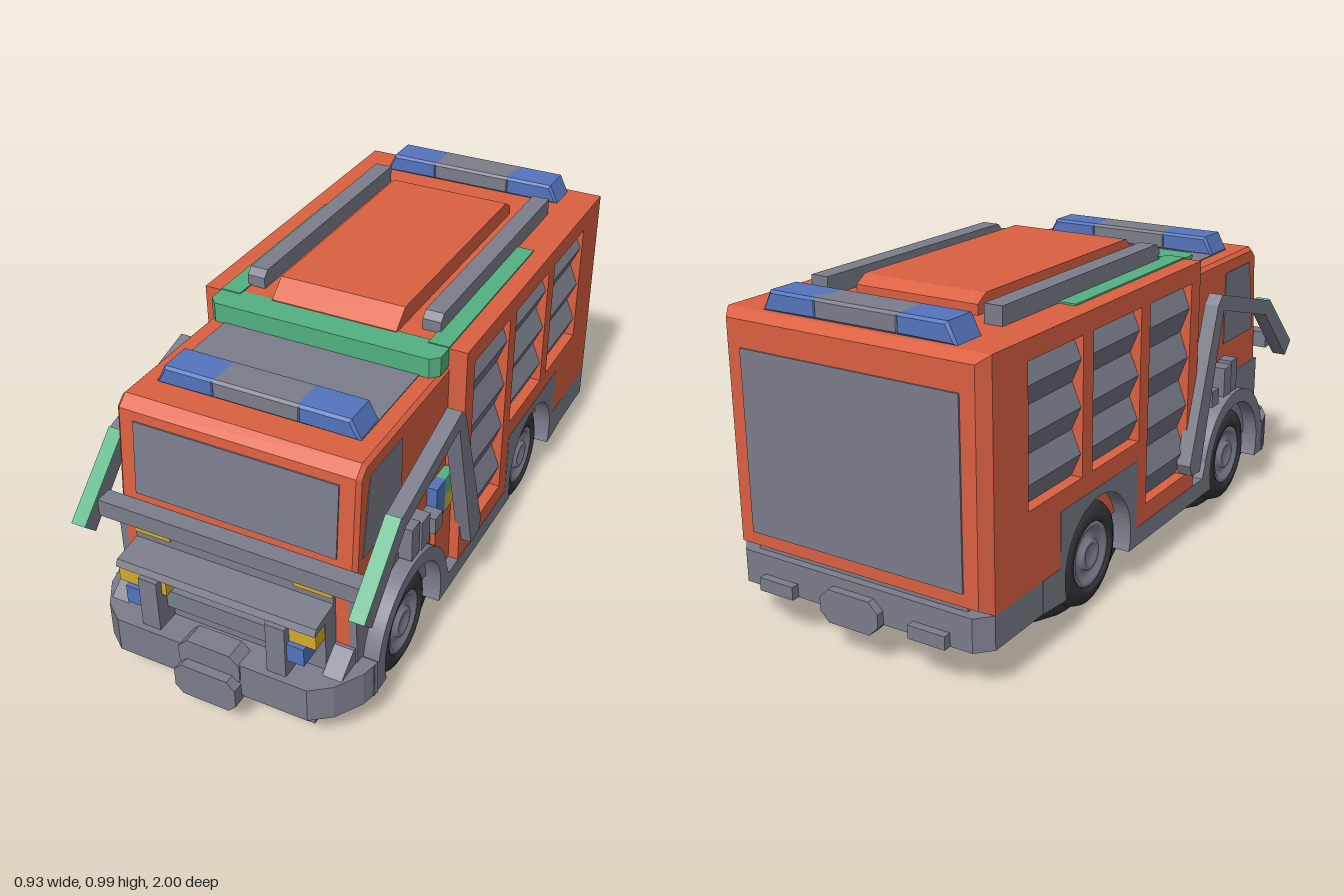
import * as THREE from 'three';

const mat = (name, color) => Object.assign(new THREE.MeshStandardMaterial({ color }), { name });

export function createModel() {
  const root = new THREE.Group();
  root.name = 'fireTruck';
  const orange = mat('orange', 0xdb6041), grey = mat('grey', 0x7b7d8b), tyre = mat('tyre', 0x37373b);
  const green = mat('green', 0x52b181), blue = mat('blue', 0x5474bd), yellow = mat('yellow', 0xd2ac2b);

  const add = (name, geo, m) => {
    const mesh = new THREE.Mesh(geo, m);
    mesh.name = name;
    root.add(mesh);
    return mesh;
  };
  // box given by its limits
  const box = (name, m, x0, x1, y0, y1, z0, z1) => {
    const g = new THREE.BoxGeometry(x1 - x0, y1 - y0, z1 - z0);
    g.translate((x0 + x1) / 2, (y0 + y1) / 2, (z0 + z1) / 2);
    return add(name, g, m);
  };
  // the same box on both sides
  const pair = (name, m, x0, x1, ...r) => {
    box(name + 'Left', m, x0, x1, ...r);
    box(name + 'Right', m, -x1, -x0, ...r);
  };
  const poly = pts => new THREE.Shape(pts.map(p => new THREE.Vector2(...p)));
  const extrude = (shape, depth, bevel = 0) => new THREE.ExtrudeGeometry(shape, {
    depth: depth - 2 * bevel, bevelEnabled: bevel > 0, bevelSize: bevel, bevelThickness: bevel,
    bevelOffset: -bevel, bevelSegments: 1, curveSegments: 20,
  }).translate(0, 0, bevel);
  // (z, y) outline extruded across x
  const across = (name, m, shape, x0, x1, bevel) =>
    add(name, extrude(shape, x1 - x0, bevel).rotateY(-Math.PI / 2).translate(x1, 0, 0), m);
  const acrossPair = (name, m, shape, x0, x1) => {
    across(name + 'Left', m, shape, x0, x1);
    across(name + 'Right', m, shape, -x1, -x0);
  };
  // half outline (x, z) mirrored and extruded upward
  const plan = (name, m, half, y0, y1) => {
    const pts = [...half, ...half.map(([x, z]) => [-x, z]).reverse()];
    return add(name, extrude(poly(pts), y1 - y0).rotateX(Math.PI / 2).translate(0, y1, 0), m);
  };
  // upright octagonal plate facing z
  const octagon = (name, x, y0, y1, c, z0, z1) => {
    const pts = [[x, y0 + c], [x, y1 - c], [x - c, y1], [c - x, y1], [-x, y1 - c], [-x, y0 + c], [c - x, y0], [x - c, y0]];
    add(name, extrude(poly(pts), z1 - z0).translate(0, 0, z0), grey);
  };

  // chassis, bumpers and side skirts with wheel arches
  box('chassis', grey, -0.36, 0.36, 0.12, 0.26, -0.95, 0.82);
  plan('frontBumper', grey, [[0.435, 0.78], [0.42, 0.84], [0.37, 0.92], [0.31, 0.965]], 0.12, 0.235);
  plan('rearBumper', grey, [[0.39, -0.975], [0.432, -0.93], [0.432, -0.62]], 0.13, 0.23);
  const skirt = new THREE.Shape();
  skirt.moveTo(0.8, 0.12);
  skirt.lineTo(0.8, 0.235);
  skirt.absarc(0.54, 0.18, 0.235, 0.2, Math.PI - 0.2, false);
  [[0.29, 0.18], [-0.17, 0.18], [-0.17, 0.4], [-0.61, 0.4], [-0.61, 0.23], [-0.7, 0.23], [-0.7, 0.13], [-0.6, 0.12]]
    .forEach(p => skirt.lineTo(...p));
  skirt.absarc(-0.395, 0.18, 0.19, Math.PI + 0.32, -0.32, true);
  skirt.absarc(0.54, 0.18, 0.19, Math.PI + 0.32, -0.32, true);
  acrossPair('skirt', grey, skirt, 0.355, 0.433);

  // wheels: round outer tyre, wide inner tyre, rim and hub
  const lathe = pts => new THREE.LatheGeometry(pts.map(p => new THREE.Vector2(...p)), 28).rotateZ(-Math.PI / 2);
  for (const [z, zi] of [[0.545, 0.515], [-0.39, -0.414]]) for (const s of [1, -1]) {
    const wheel = new THREE.Group();
    wheel.name = 'wheel';
    wheel.position.set(0, 0.175, z);
    if (s < 0) wheel.rotation.y = Math.PI;
    const part = (name, g, m) => {
      const w = add(name, g, m);
      wheel.add(w);
      return w;
    };
    part('tyre', lathe([[0, 0.3], [0.165, 0.3], [0.168, 0.36], [0.155, 0.392], [0.125, 0.405], [0.103, 0.405], [0.1, 0.385], [0, 0.385]]), tyre);
    part('rim', lathe([[0.102, 0.38], [0.1, 0.4], [0.085, 0.4], [0.075, 0.388], [0.05, 0.388], [0.047, 0.402], [0.032, 0.402], [0.028, 0.395], [0, 0.395]]), grey);
    const inner = part('innerTyre', new THREE.LatheGeometry(
      [[0, 0.145], [0.145, 0.145], [0.175, 0.18], [0.175, 0.345], [0.155, 0.37], [0, 0.37]].map(p => new THREE.Vector2(...p)), 14)
      .rotateZ(-Math.PI / 2).scale(1, 1, 1.75), tyre);
    inner.position.z = (zi - z) * s;
    root.add(wheel);
  }

  // stand below the middle
  plan('standBase', orange, [[0.08, -0.15], [0.137, -0.09], [0.137, 0.06], [0.08, 0.12]], 0, 0.07);
  plan('standPost', grey, [[0.06, -0.12], [0.1, -0.08], [0.1, 0.05], [0.06, 0.09]], 0.07, 0.125);

  // rear body: core, side walls with openings, tapered back
  box('bodyCore', orange, -0.381, 0.381, 0.24, 0.93, -0.93, 0.22);
  const wall = poly([[0.22, 0.18], [0.22, 0.93], [-0.93, 0.93], [-0.93, 0.23], [-0.61, 0.23], [-0.61, 0.4], [-0.17, 0.4], [-0.17, 0.18]]);
  const shutters = [[-0.11, 0.16, 0.24, 4], [-0.44, -0.165, 0.46, 3], [-0.77, -0.495, 0.46, 3]];
  const top = 0.87;
  for (const [z0, z1, y0] of shutters) wall.holes.push(poly([[z0, y0], [z0, top], [z1, top], [z1, y0]]));
  acrossPair('sideWall', orange, wall, 0.38, 0.432);
  for (const s of [1, -1]) for (const [z0, z1, y0, n] of shutters) {
    const pts = [[0.37 * s, y0]], h = (top - y0) / n;
    for (let i = 0; i < n; i++) pts.push([0.397 * s, y0 + i * h], [0.426 * s, y0 + (i + 0.5) * h]);
    pts.push([0.397 * s, top], [0.37 * s, top]);
    add('shutter', extrude(poly(pts), z1 - z0).translate(0, 0, z0), grey);
  }
  const back = new THREE.BoxGeometry(0.864, 0.7, 0.037);
  const bp = back.attributes.position;
  for (let i = 0; i < bp.count; i++) if (bp.getZ(i) < 0) bp.setXY(i, bp.getX(i) * 0.94, bp.getY(i) * 0.94);
  back.computeVertexNormals();
  add('bodyBack', back.translate(0, 0.58, -0.9485), orange);
  box('rearPanel', grey, -0.36, 0.36, 0.29, 0.83, -0.972, -0.966);

  // rear couplings
  octagon('rearCoupling', 0.1, 0.1, 0.2, 0.03, -1, -0.96);
  pair('rearHook', grey, 0.2, 0.32, 0.13, 0.17, -1, -0.95);
  for (const z of [-0.76, -0.83, -0.89]) pair('rearStep', grey, 0.18, 0.32, 0.09, 0.13, z - 0.015, z + 0.015);

  // cab with glazing
  across('cab', orange, poly([[0.2, 0.25], [0.2, 0.87], [0.74, 0.87], [0.775, 0.84], [0.81, 0.45], [0.81, 0.25]]), -0.378, 0.378, 0.012);
  box('cabRoofPanel', grey, -0.32, 0.32, 0.868, 0.873, 0.28, 0.65);
  const screen = box('windshield', grey, -0.32, 0.32, -0.116, 0.116, -0.004, 0.004);
  screen.position.set(0, 0.695, 0.789);
  screen.rotation.x = -0.09;
  acrossPair('sideWindow', grey, poly([[0.53, 0.575], [0.53, 0.82], [0.72, 0.82], [0.765, 0.575]]), 0.376, 0.381);
  acrossPair('cabLowerPanel', grey, poly([[0.81, 0.2], [0.81, 0.455], [0.63, 0.455], [0.5, 0.43], [0.33, 0.4], [0.33, 0.2]]), 0.36, 0.384);
  acrossPair('doorSill', orange, poly([[0.29, 0.18], [0.33, 0.26], [0.33, 0.42], [0.22, 0.42], [0.22, 0.18]]), 0.36, 0.4);

  // equipment on the cab sides
  pair('sideBox', grey, 0.37, 0.425, 0.42, 0.53, 0.5, 0.55);
  pair('sideBoxSmall', grey, 0.37, 0.43, 0.42, 0.52, 0.44, 0.495);
  pair('valve', grey, 0.37, 0.43, 0.41, 0.465, 0.35, 0.4);
  pair('blueFitting', blue, 0.37, 0.41, 0.41, 0.53, 0.29, 0.35);
  pair('greenFitting', green, 0.37, 0.41, 0.47, 0.53, 0.225, 0.29);
  pair('yellowFitting', yellow, 0.37, 0.41, 0.41, 0.47, 0.225, 0.29);

  // nose, grille and lamps
  box('nose', grey, -0.32, 0.32, 0.23, 0.42, 0.78, 0.87);
  box('noseUpper', grey, -0.32, 0.32, 0.4, 0.5, 0.78, 0.822);
  acrossPair('noseFlank', grey, poly([[0.79, 0.23], [0.79, 0.29], [0.82, 0.29], [0.9, 0.23]]), 0.32, 0.38);
  across('hood', grey, poly([[0.8, 0.405], [0.8, 0.44], [0.92, 0.425], [0.93, 0.405]]), -0.32, 0.32);
  pair('headlamp', yellow, 0.16, 0.318, 0.35, 0.406, 0.85, 0.92);
  pair('blueLamp', blue, 0.22, 0.288, 0.29, 0.35, 0.86, 0.935);
  pair('grillePost', grey, 0.175, 0.235, 0.23, 0.406, 0.86, 0.945);
  pair('upperLamp', yellow, 0.2, 0.32, 0.46, 0.5, 0.8, 0.828);
  box('grilleBar', grey, -0.18, 0.18, 0.29, 0.35, 0.86, 0.9);
  box('crossBar', grey, -0.42, 0.42, 0.5, 0.555, 0.8, 0.855);
  octagon('winchPlate', 0.1, 0.15, 0.26, 0.03, 0.9, 0.97);
  octagon('winch', 0.1, 0.08, 0.19, 0.025, 0.95, 1);
  pair('frontStep', grey, 0.18, 0.32, 0.09, 0.13, 0.9, 0.94);

  // folding arms beside the cab, green on the front section
  acrossPair('arm', grey, poly([[0.125, 0.285], [0.29, 0.775], [0.32, 0.805], [0.705, 0.7], [0.92, 0.5],
    [0.88, 0.46], [0.68, 0.655], [0.335, 0.75], [0.2, 0.245], [0.14, 0.25]]), 0.418, 0.465);
  for (const s of [1, -1]) {
    const strip = box('armStrip', green, -0.0235, 0.0235, -0.003, 0.003, -0.147, 0.147);
    strip.position.set(0.4415 * s, 0.602, 0.8145);
    strip.rotation.x = Math.atan2(0.2, 0.215);
  }

  // roof: green frame, raised hatch, rails
  plan('roofFrameFront', green, [[0.375, 0.2], [0.375, 0.275], [0.35, 0.3]], 0.87, 0.932);
  pair('roofFrameSide', green, 0.31, 0.375, 0.925, 0.935, -0.44, 0.22);
  across('roofHatch', orange, poly([[0.21, 0.925], [0.21, 0.935], [0.15, 0.985], [-0.62, 0.985], [-0.66, 0.96], [-0.66, 0.925]]), -0.205, 0.205);
  acrossPair('roofRail', grey, poly([[0.155, 0.925], [0.155, 0.965], [0.135, 0.985], [-0.715, 0.985], [-0.715, 0.925]]), 0.262, 0.32);

  // light bars with sloping blue ends
  for (const [y, z] of [[0.868, 0.6], [0.928, -0.86]]) {
    const bar = (name, m, pts) => add(name, extrude(poly(pts), 0.116, 0.008).translate(0, y, z - 0.058), m);
    bar('lightBarCentre', grey, [[-0.14, 0], [0.14, 0], [0.14, 0.06], [-0.14, 0.06]]);
    for (const s of [1, -1]) bar('lightBarEnd', blue, [[0.13 * s, 0], [0.32 * s, 0], [0.29 * s, 0.06], [0.13 * s, 0.06]]);
  }
  return root;
}
